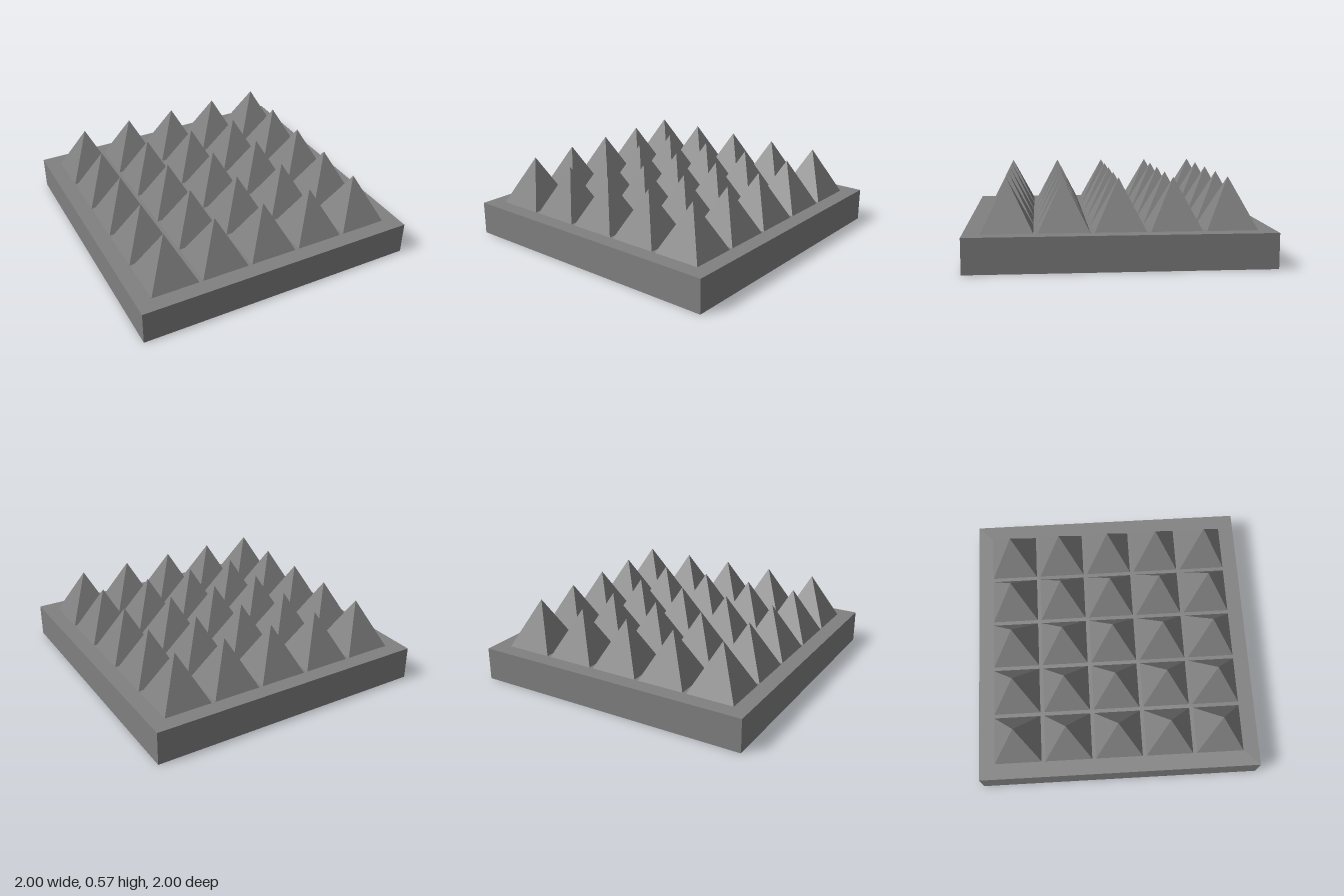
import * as THREE from 'three';

export function createModel() {
  const model = new THREE.Group();
  const material = new THREE.MeshStandardMaterial({ color: 0x808080, flatShading: true });

  const baseHeight = 0.233;
  const spikeWidth = 0.334;
  const spikeHeight = 0.334;
  const pitch = 0.361;
  const count = 5;

  // Square slab
  const base = new THREE.Mesh(new THREE.BoxGeometry(2, baseHeight, 2), material);
  base.name = 'base';
  base.position.y = baseHeight / 2;
  model.add(base);

  // Four-sided pyramid, turned so its sides run along x and z, standing on y = 0
  const pyramid = new THREE.ConeGeometry(spikeWidth / Math.SQRT2, spikeHeight, 4, 1, true);
  pyramid.rotateY(Math.PI / 4).translate(0, spikeHeight / 2, 0);

  // Grid of spikes
  const spikes = new THREE.Group();
  spikes.name = 'spikes';
  spikes.position.y = baseHeight;
  for (let row = 0; row < count; row++) {
    for (let column = 0; column < count; column++) {
      const spike = new THREE.Mesh(pyramid, material);
      spike.name = 'spike';
      spike.position.set((column - (count - 1) / 2) * pitch, 0, (row - (count - 1) / 2) * pitch);
      spikes.add(spike);
    }
  }
  model.add(spikes);

  return model;
}
